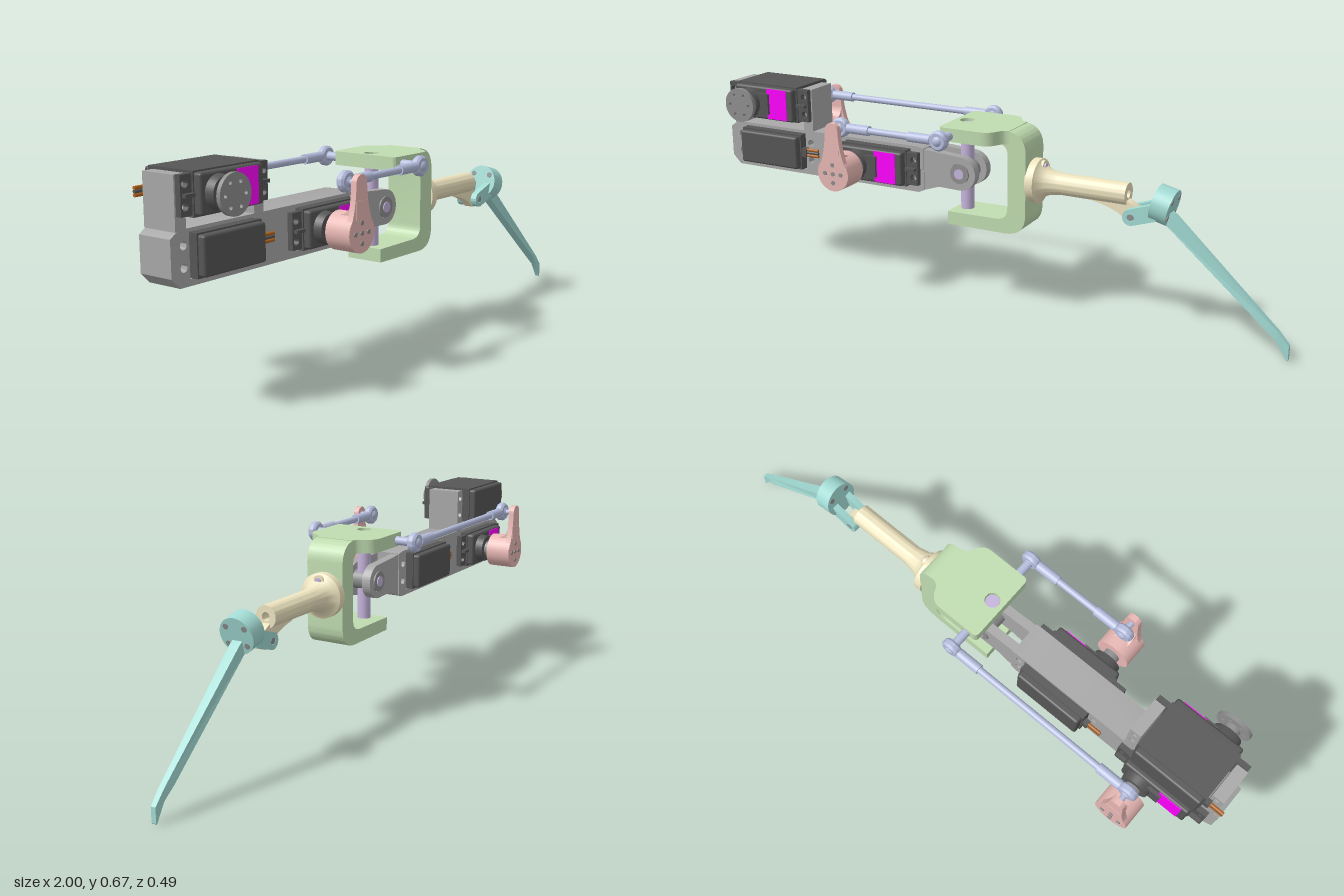
import * as THREE from 'three';
import { RoundedBoxGeometry } from 'three/addons/geometries/RoundedBoxGeometry.js';
import { toCreasedNormals } from 'three/addons/utils/BufferGeometryUtils.js';

const paint = color => new THREE.MeshStandardMaterial({ color });
const M = {
  frame: paint(0xa8a8a8), servo: paint(0x565656), steel: paint(0x8f8f8f), label: paint(0xff00ff),
  wire: paint(0xb5651d), pink: paint(0xe8b8b4), green: paint(0xc0dcb0), lilac: paint(0xb6bede),
  pin: paint(0xc6b4dc), beige: paint(0xeee4c0), teal: paint(0xa2dad3),
};

function add(parent, name, geo, mat, x = 0, y = 0, z = 0) {
  const m = new THREE.Mesh(geo, mat);
  m.name = name;
  m.position.set(x, y, z);
  parent.add(m);
  return m;
}
const box = (w, h, d) => new THREE.BoxGeometry(w, h, d);
const rod = (r, len, axis = 'y', r2 = r) => {
  const g = new THREE.CylinderGeometry(r2, r, len, 32);
  if (axis === 'x') g.rotateZ(-Math.PI / 2);
  if (axis === 'z') g.rotateX(Math.PI / 2);
  return g;
};
const poly = pts => new THREE.Shape(pts.map(p => new THREE.Vector2(...p)));
const circle = (x, y, r) => new THREE.Path().absarc(x, y, r, 0, Math.PI * 2, true);
const rect = (x0, y0, x1, y1) => poly([[x0, y0], [x1, y0], [x1, y1], [x0, y1]]);
// Plate in the xy plane reaching from z0 to z1
const plate = (shape, z0, z1) => toCreasedNormals(
  new THREE.ExtrudeGeometry(shape, { depth: z1 - z0, bevelEnabled: false, curveSegments: 16 }).translate(0, 0, z0), 0.6);

const AXIS = 0.447, ROD_Y = 0.59, PIVOT = -0.083;

// Servo: output shaft points +z, cable leaves at -x
function makeServo(name, x, y, turned) {
  const g = new THREE.Group();
  g.name = name;
  g.position.set(x, y, 0);
  if (turned) g.rotation.y = Math.PI;
  add(g, 'servoCase', box(0.245, 0.122, 0.165), M.servo);
  add(g, 'servoBase', new RoundedBoxGeometry(0.236, 0.113, 0.03, 2, 0.008), M.servo, 0, 0, -0.09);
  add(g, 'servoLid', new RoundedBoxGeometry(0.236, 0.113, 0.04, 2, 0.008), M.servo, 0, 0, 0.086);
  add(g, 'gearBoss', rod(0.05, 0.03, 'z', 0.045), M.servo, -0.055, 0, 0.117);
  add(g, 'gearCover', box(0.07, 0.07, 0.02), M.servo, -0.01, 0, 0.107);
  add(g, 'outputShaft', rod(0.026, 0.03, 'z'), M.steel, -0.055, 0, 0.145);
  add(g, 'label', box(0.08, 0.104, 0.004), M.label, 0.055, 0, 0.106);
  const ears = rect(-0.163, -0.055, 0.163, 0.055);
  for (const sx of [-1, 1]) for (const sy of [-1, 1]) ears.holes.push(circle(sx * 0.147, sy * 0.03, 0.011));
  add(g, 'mountingEars', plate(ears, 0.06, 0.078), M.servo);
  for (const s of [-1, 1]) add(g, 'earRib', box(0.035, 0.01, 0.015), M.servo, s * 0.14, 0, 0.084);
  add(g, 'cableGrommet', box(0.02, 0.03, 0.02), M.servo, -0.13, 0, -0.07);
  for (const k of [-1, 0, 1])
    add(g, 'cable', rod(0.005, 0.05, 'x'), k ? M.wire : M.servo, -0.16, k * 0.01, -0.07);
  return g;
}

// Servo arm with deep hub and a thin upright lever, facing +z
function makeHorn(x, side) {
  const g = new THREE.Group();
  g.name = 'servoArm';
  g.position.set(x, AXIS, 0);
  if (side < 0) g.rotation.y = Math.PI;
  add(g, 'hub', rod(0.058, 0.087, 'z'), M.pink, 0, 0, 0.2);
  const s = new THREE.Shape();
  s.moveTo(-0.055, 0.015).quadraticCurveTo(-0.028, 0.06, -0.024, 0.145);
  s.absarc(0, 0.145, 0.024, Math.PI, 0, true);
  s.quadraticCurveTo(0.028, 0.06, 0.055, 0.015);
  s.closePath();
  add(g, 'lever', plate(s, 0.225, 0.244), M.pink);
  // Curved web between hub and lever
  const web = new THREE.Shape();
  web.moveTo(-0.245, 0.04).lineTo(-0.19, 0.04).lineTo(-0.19, 0.053).quadraticCurveTo(-0.222, 0.056, -0.226, 0.095);
  web.lineTo(-0.245, 0.095);
  add(g, 'leverWeb', plate(web, -0.027, 0.027).rotateY(Math.PI / 2), M.pink);
  for (const [a, b] of [[0, 0], [0.03, 0], [-0.03, 0], [0, 0.03], [0, -0.03]])
    add(g, 'hubScrew', rod(0.007, 0.004, 'z'), M.steel, a, b, 0.244);
  return g;
}

// Push rod with a ball joint at each end
function makePushRod(x0, side) {
  const g = new THREE.Group();
  g.name = 'pushRod';
  const x1 = PIVOT, z = side * 0.187, len = x1 - x0;
  add(g, 'rodShaft', rod(0.011, len - 0.06, 'x'), M.lilac, (x0 + x1) / 2, ROD_Y, z);
  for (const [x, d] of [[x0, 1], [x1, -1]]) {
    add(g, 'rodSleeve', rod(0.016, 0.08, 'x'), M.lilac, x + d * 0.068, ROD_Y, z);
    const ring = [[0.015, -0.014], [0.026, -0.014], [0.032, -0.007], [0.032, 0.007], [0.026, 0.014], [0.015, 0.014]];
    const eye = new THREE.LatheGeometry(ring.map(p => new THREE.Vector2(...p)), 32).rotateX(Math.PI / 2);
    add(g, 'rodEye', toCreasedNormals(eye, 0.5), M.lilac, x, ROD_Y, z);
    add(g, 'ball', new THREE.SphereGeometry(0.021, 24, 16), M.lilac, x, ROD_Y, z);
  }
  add(g, 'ballStud', rod(0.009, 0.05, 'z'), M.lilac, x0, ROD_Y, side * 0.205);
  add(g, 'yokeStud', rod(0.014, 0.075, 'z'), M.lilac, x1, ROD_Y, side * 0.142);
  return g;
}

function makeFrame() {
  const g = new THREE.Group();
  g.name = 'frame';
  const s = poly([[-1, 0.395], [-0.97, 0.365], [-0.235, 0.365], [-0.215, 0.374], [-0.215, 0.515], [-0.24, 0.52],
    [-0.97, 0.52], [-1, 0.5]]);
  for (const c of [-0.808, -0.39]) {
    s.holes.push(rect(c - 0.126, AXIS - 0.063, c + 0.126, AXIS + 0.063));
    for (const sx of [-1, 1]) for (const sy of [-1, 1]) s.holes.push(circle(c + sx * 0.147, AXIS + sy * 0.03, 0.012));
  }
  add(g, 'frameBody', plate(s, -0.058, 0.058), M.frame);
  // Fork cheeks
  const c = new THREE.Shape();
  c.moveTo(-0.216, 0.374).lineTo(-0.16, 0.393).lineTo(PIVOT, 0.391);
  c.absarc(PIVOT, AXIS, 0.056, -Math.PI / 2, Math.PI / 2, false);
  c.lineTo(-0.216, 0.512);
  c.holes.push(circle(PIVOT, AXIS, 0.034));
  for (const z of [-0.055, 0.025]) add(g, 'forkCheek', plate(c, z, z + 0.03), M.frame);
  // Posts for the upper servo
  for (const x of [-0.962, -0.668]) {
    const p = rect(x - 0.019, 0.515, x + 0.019, 0.665);
    for (const sy of [-1, 1]) p.holes.push(circle(x + Math.sign(x + 0.815) * -0.001, 0.61 + sy * 0.03, 0.011));
    add(g, 'servoPost', plate(p, -0.058, 0.058), M.frame);
  }
  return g;
}

function makeYoke() {
  const g = new THREE.Group();
  g.name = 'yoke';
  // C-shaped bracket
  const c = new THREE.Shape();
  c.moveTo(-0.06, 0.614).lineTo(0.085, 0.614).quadraticCurveTo(0.157, 0.612, 0.157, 0.54);
  c.lineTo(0.157, 0.345).quadraticCurveTo(0.157, 0.276, 0.085, 0.275).lineTo(-0.122, 0.275).lineTo(-0.122, 0.318);
  c.lineTo(0.055, 0.32).quadraticCurveTo(0.094, 0.322, 0.094, 0.36);
  c.lineTo(0.094, 0.535).quadraticCurveTo(0.094, 0.57, 0.055, 0.572).lineTo(-0.06, 0.572);
  add(g, 'bracket', plate(c, -0.065, 0.065), M.green);
  // Wide top plate
  const t = new THREE.Shape();
  t.moveTo(-0.122, -0.105).quadraticCurveTo(-0.122, -0.122, -0.105, -0.122).lineTo(0.02, -0.122);
  t.bezierCurveTo(0.08, -0.122, 0.06, -0.067, 0.1, -0.065);
  t.lineTo(0.1, 0.065).bezierCurveTo(0.06, 0.067, 0.08, 0.122, 0.02, 0.122);
  t.lineTo(-0.105, 0.122).quadraticCurveTo(-0.122, 0.122, -0.122, 0.105);
  t.holes.push(circle(PIVOT, 0, 0.024));
  add(g, 'topPlate', plate(t, -0.6145, -0.571).rotateX(Math.PI / 2), M.green);
  // Universal joint
  add(g, 'verticalPin', rod(0.022, 0.32), M.pin, PIVOT, 0.445, 0);
  add(g, 'crossBarrel', rod(0.033, 0.118, 'z'), M.steel, PIVOT, AXIS, 0);
  add(g, 'crossPin', rod(0.017, 0.124, 'z'), M.pin, PIVOT, AXIS, 0);
  return g;
}

function makeForearm() {
  const g = new THREE.Group();
  g.name = 'forearm';
  const prof = [[0, 0.155], [0.072, 0.155], [0.072, 0.182], [0.054, 0.192], [0.042, 0.212], [0.035, 0.25],
    [0.035, 0.476], [0.014, 0.476], [0.014, 0.4]];
  const lathe = new THREE.LatheGeometry(prof.map(p => new THREE.Vector2(...p)), 40).rotateZ(-Math.PI / 2);
  add(g, 'socketTube', toCreasedNormals(lathe, 0.6), M.beige, 0, AXIS, 0);
  add(g, 'lockBoss', rod(0.018, 0.03, 'x'), M.beige, 0.18, 0.497, 0);
  add(g, 'lockPin', rod(0.01, 0.04, 'x'), M.pin, 0.18, 0.497, 0);
  // Hinge lug under the tube end
  const s = new THREE.Shape();
  s.moveTo(0.36, 0.43).lineTo(0.36, 0.413).quadraticCurveTo(0.44, 0.4, 0.478, 0.365);
  s.absarc(0.498, 0.385, 0.029, -2.3, 0.9, false);
  s.lineTo(0.474, 0.43);
  s.holes.push(circle(0.498, 0.385, 0.012));
  add(g, 'hingeLug', plate(s, -0.015, 0.015), M.beige);
  return g;
}

function makeFoot() {
  const g = new THREE.Group();
  g.name = 'lowerLeg';
  // Hinge ears on both sides of the lug
  const e = new THREE.Shape();
  e.absarc(0.498, 0.385, 0.026, 2, 4.9, false);
  e.lineTo(0.58, 0.385).lineTo(0.58, 0.44);
  e.holes.push(circle(0.498, 0.385, 0.011));
  for (const z of [-0.04, 0.018]) add(g, 'hingeEar', plate(e, z, z + 0.022), M.teal);
  add(g, 'hingePin', rod(0.01, 0.08, 'z'), M.steel, 0.498, 0.385, 0);
  const k = add(g, 'knuckle', rod(0.058, 0.056, 'x'), M.teal, 0.592, 0.43, 0);
  k.rotation.z = -0.25;
  for (const a of [0.7, 2.44, 3.84, 5.58])
    add(k, 'knuckleScrew', rod(0.009, 0.06, 'x'), M.steel, 0, Math.sin(a) * 0.042, Math.cos(a) * 0.042);
  // Blade, narrowing towards the tip
  const b = poly([[0.59, 0.385], [0.606, 0.37], [0.93, 0.092], [0.965, 0.055], [0.997, 0], [1, 0.003], [1, 0.05],
    [0.965, 0.09], [0.63, 0.4], [0.6, 0.42]]);
  const geo = new THREE.ExtrudeGeometry(b, { depth: 0.034, bevelEnabled: false }).translate(0, 0, -0.017);
  const p = geo.attributes.position;
  for (let i = 0; i < p.count; i++)
    p.setZ(i, p.getZ(i) * (1 - 0.53 * THREE.MathUtils.clamp((p.getX(i) - 0.93) / 0.04, 0, 1)));
  add(g, 'blade', toCreasedNormals(geo, 0.3), M.teal);
  return g;
}

export function createModel() {
  const model = new THREE.Group();
  model.name = 'roboticLeg';
  model.add(makeFrame(), makeYoke(), makeForearm(), makeFoot());
  model.add(makeServo('rearServo', -0.808, AXIS, true));
  model.add(makeServo('middleServo', -0.39, AXIS, false));
  const top = makeServo('upperServo', -0.815, 0.611, false);
  model.add(top);
  // Round horn on the upper servo
  const disc = new THREE.Shape().absarc(0, 0, 0.058, 0, Math.PI * 2, false);
  for (let i = 0; i < 6; i++) disc.holes.push(circle(0.038 * Math.cos(i * Math.PI / 3), 0.038 * Math.sin(i * Math.PI / 3), 0.006));
  add(top, 'roundHorn', plate(disc, 0.155, 0.168), M.steel, -0.055);
  // Linkages
  for (const [x, side] of [[-0.445, 1], [-0.753, -1]]) model.add(makeHorn(x, side), makePushRod(x, side));
  return model;
}
